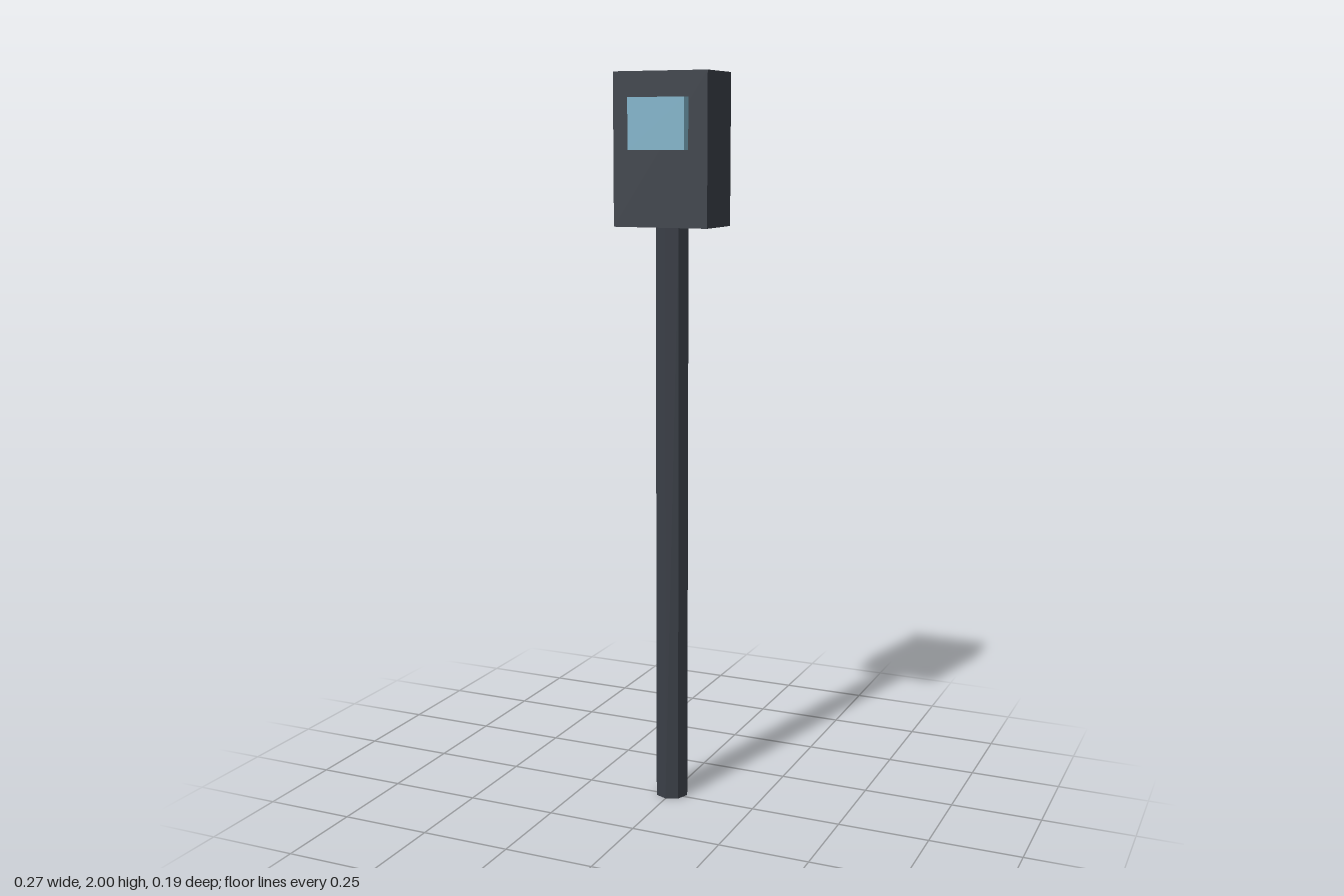
import * as THREE from 'three';

export function createModel() {
  const model = new THREE.Group();
  model.name = 'postWithDisplayBox';

  const darkMetal = new THREE.MeshStandardMaterial({ color: 0x3a3f47 });
  darkMetal.name = 'dark metal';
  darkMetal.flatShading = true;
  const paleBlue = new THREE.MeshStandardMaterial({ color: 0x81b4ca });
  paleBlue.name = 'pale blue screen';

  const add = (name, geometry, material, x, y, z) => {
    const mesh = new THREE.Mesh(geometry, material);
    mesh.name = name;
    mesh.position.set(x, y, z);
    model.add(mesh);
  };

  const axisZ = -0.0133; // the housing and post share this depth

  // Eight-sided post
  add('post', new THREE.CylinderGeometry(0.0467, 0.0467, 1.6, 8), darkMetal, 0, 0.8, axisZ);
  // Housing on top of the post
  add('housing', new THREE.BoxGeometry(0.2667, 0.4, 0.16), darkMetal, 0, 1.8, axisZ);
  // Raised screen on the front of the housing
  add('screen', new THREE.BoxGeometry(0.16, 0.1333, 0.0266), paleBlue, 0, 1.8667, 0.08);

  return model;
}
